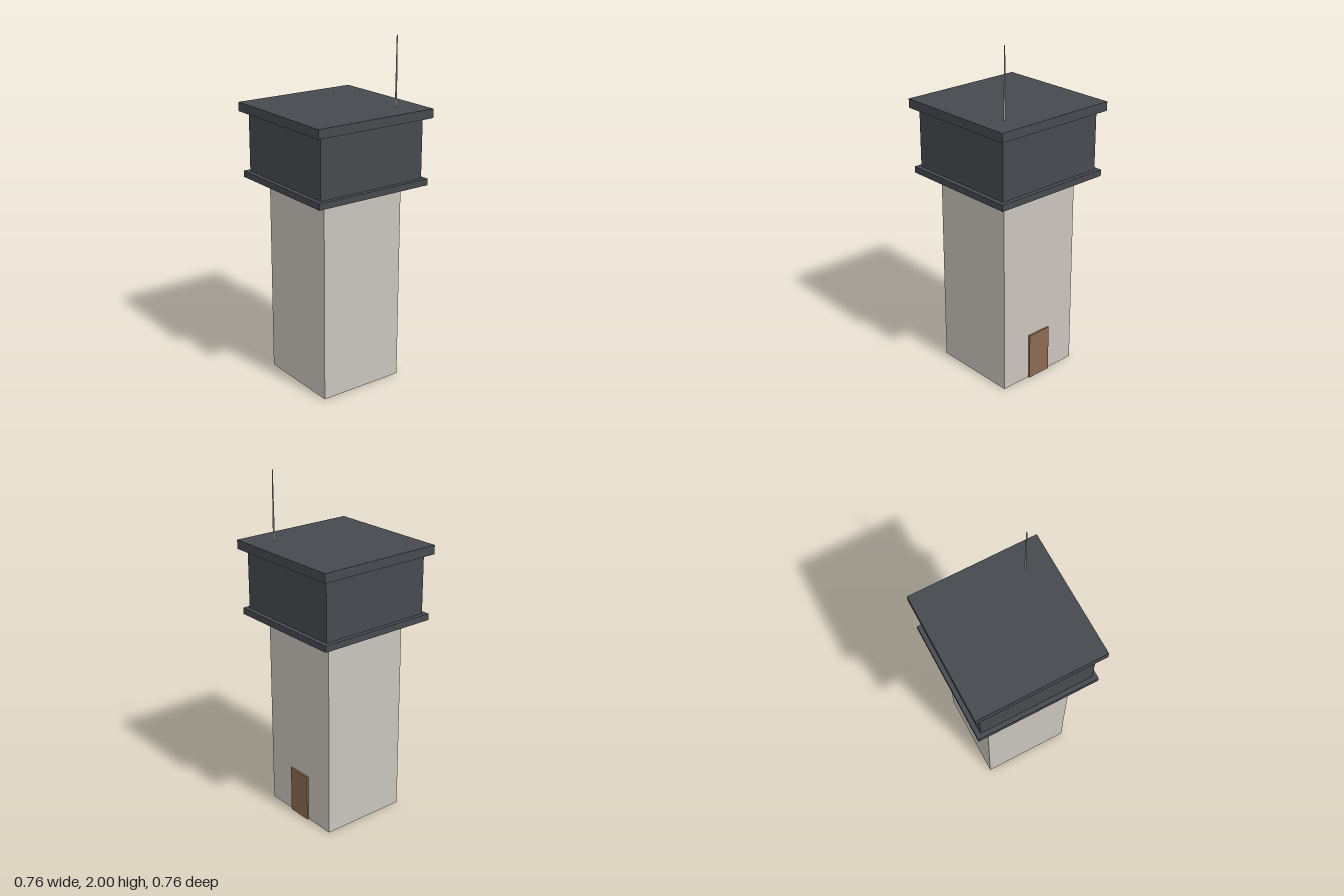
import * as THREE from 'three';

export function createModel() {
  const model = new THREE.Group();
  model.name = 'watchTower';

  const material = (name, color) => {
    const m = new THREE.MeshStandardMaterial({ color });
    m.name = name;
    return m;
  };
  const concrete = material('pale concrete', 0xc9c5bd);
  const slate = material('dark slate', 0x464a4e);
  const wood = material('brown wood', 0x8b6b50);
  const metal = material('grey metal', 0xa5a5a0);

  const add = (name, geometry, mat, x, y, z) => {
    const mesh = new THREE.Mesh(geometry, mat);
    mesh.name = name;
    mesh.position.set(x, y, z);
    model.add(mesh);
    return mesh;
  };
  // Square block between two heights
  const block = (name, width, bottom, top, mat) =>
    add(name, new THREE.BoxGeometry(width, top - bottom, width), mat, 0, (bottom + top) / 2, 0);

  // Tower stack, from the ground up
  block('shaft', 0.524, 0, 1.175, concrete);
  block('ledge', 0.734, 1.175, 1.212, slate);
  block('cabin', 0.682, 1.212, 1.556, slate);
  block('roof', 0.762, 1.556, 1.608, slate);

  // Door on the back wall
  add('door', new THREE.BoxGeometry(0.15, 0.28, 0.02), wood, 0, 0.14, -0.262);

  // Tapered mast near the back corner of the roof
  const mast = new THREE.CylinderGeometry(0.003, 0.006, 0.392, 6);
  add('antenna', mast, metal, 0.236, 1.804, -0.238);

  return model;
}
